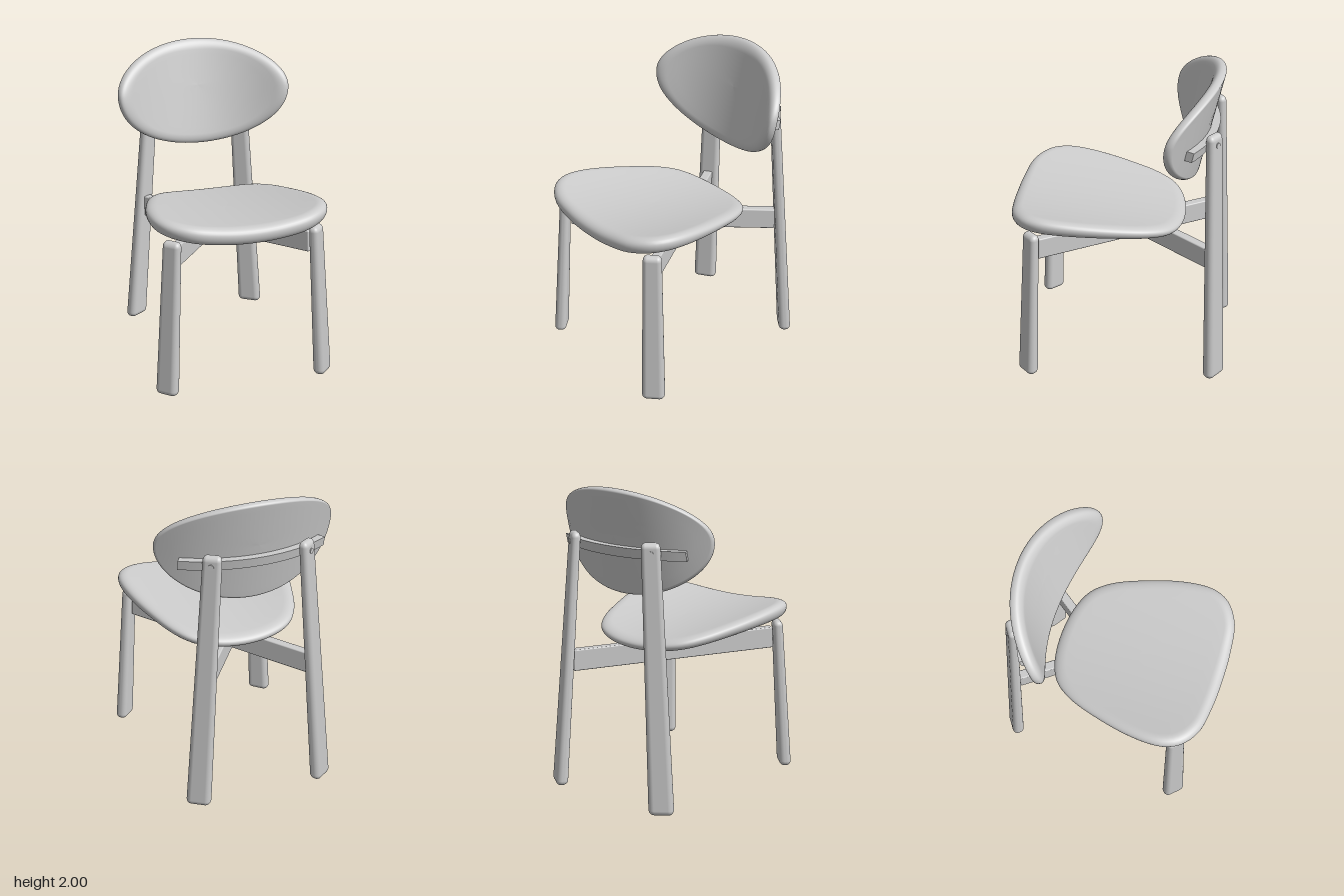
import * as THREE from 'three';
import { RoundedBoxGeometry } from 'three/addons/geometries/RoundedBoxGeometry.js';

const grey = new THREE.MeshStandardMaterial({ color: 0xcccccc });
grey.name = 'plain grey';

function part(name, geometry, parent) {
  const mesh = new THREE.Mesh(geometry, grey);
  mesh.name = name;
  parent.add(mesh);
  return mesh;
}

// Moves every vertex of a geometry by a rule
function deform(geometry, rule) {
  const pos = geometry.attributes.position;
  const v = new THREE.Vector3();
  for (let i = 0; i < pos.count; i++) {
    rule(v.fromBufferAttribute(pos, i));
    pos.setXYZ(i, v.x, v.y, v.z);
  }
  return geometry;
}

// Flat pad with a rounded rim: rings run from the upper centre, round the rim, to the lower centre.
// The outline is counter-clockwise around its own origin; t goes from 1 (upper) to -1 (lower).
function pad(outline, upperRim, lowerRim, rule) {
  const rings = [];
  for (let k = 0; k < 8; k++) rings.push([k / 8, upperRim, 1]);
  for (let k = 0; k <= 16; k++) {
    const a = Math.PI / 2 - (k / 16) * Math.PI;
    rings.push([1, (a > 0 ? upperRim : lowerRim) * (1 - Math.cos(a)), Math.sin(a)]);
  }
  for (let k = 7; k >= 0; k--) rings.push([k / 8, lowerRim, -1]);
  const n = outline.length, points = [], index = [];
  rings.forEach(([scale, inset, t], i) => {
    outline.forEach((p, j) => {
      const s = scale * (1 - inset / p.length());
      points.push(p.x * s, p.y * s, t);
      if (i === 0) return;
      const j2 = (j + 1) % n;
      const a = (i - 1) * n + j, b = i * n + j, c = i * n + j2, d = (i - 1) * n + j2;
      index.push(a, b, c, a, c, d);
    });
  });
  const g = new THREE.BufferGeometry();
  g.setAttribute('position', new THREE.Float32BufferAttribute(points, 3));
  g.setIndex(index);
  deform(g, rule);
  g.computeVertexNormals();
  return g;
}

// Tapered, splayed leg with rounded edges; foot and top are [x, z]
function leg(width, depth, yaw, height, foot, top, taper) {
  const g = new RoundedBoxGeometry(width, height, depth, 5, 0.036);
  g.translate(0, height / 2, 0);
  deform(g, (v) => {
    const s = THREE.MathUtils.lerp(1, taper, v.y / height);
    v.x *= s;
    v.z *= s;
  });
  g.rotateY(yaw);
  return deform(g, (v) => {
    const s = v.y / height;
    v.x += THREE.MathUtils.lerp(foot[0], top[0], s);
    v.z += THREE.MathUtils.lerp(foot[1], top[1], s);
  });
}

// Wraps a point (x, y, thickness offset) round the curve of the backrest
const R = 0.85;
function bendBack(v) {
  const sin = v.x / R, r = R - v.z;
  v.x = r * sin;
  v.z = -0.53 + R - r * Math.sqrt(1 - sin * sin) - 0.227 * (v.y - 1.66);
}

export function createModel() {
  const chair = new THREE.Group();
  chair.name = 'chair';

  // Seat: dished from side to side, thinner and lower towards the back
  const half = [[0, 0.705], [0.2, 0.697], [0.39, 0.665], [0.51, 0.585], [0.56, 0.49], [0.572, 0.39],
    [0.555, 0.22], [0.5, 0], [0.425, -0.2], [0.335, -0.32], [0.2, -0.385], [0, -0.41]];
  const mid = 0.14;
  const right = half.map(([x, z]) => new THREE.Vector3(x, mid - z, 0));
  const left = right.slice(1, -1).reverse().map((p) => new THREE.Vector3(-p.x, p.y, 0));
  const seatOutline = new THREE.CatmullRomCurve3([...right, ...left], true)
    .getSpacedPoints(96).slice(0, 96).map((p) => new THREE.Vector2(p.x, p.y));
  part('seat', pad(seatOutline, 0.075, 0.045, (v) => {
    const z = mid - v.y;
    v.set(v.x, 1.003 + 0.082 * z + 0.24 * v.x * v.x + v.z * (0.043 + 0.02 * z), z);
  }), chair);

  // Backrest: egg-shaped shell, curved round the sitter
  const midY = 1.705;
  const backOutline = Array.from({ length: 96 }, (_, i) => {
    const a = (i / 96) * Math.PI * 2, s = Math.sin(a);
    return new THREE.Vector2(0.577 * Math.cos(a), s * (s > 0 ? 0.295 : 0.39));
  });
  part('backrest', pad(backOutline, 0.065, 0.022, (v) => {
    v.y += midY;
    v.z *= 0.038;
    bendBack(v);
  }), chair);

  // Curved bar joining the backrest to the back legs
  const bar = new THREE.BoxGeometry(0.88, 0.062, 0.055, 28, 1, 1);
  bar.translate(0, 1.612, -0.062);
  deform(bar, bendBack).computeVertexNormals();
  part('backrestBar', bar, chair);

  for (const side of [1, -1]) {
    const name = side > 0 ? 'left' : 'right';
    part(name + 'FrontLeg', leg(0.15, 0.08, side * Math.PI / 4, 1.02,
      [side * 0.525, 0.577], [side * 0.47, 0.535], 0.78), chair);
    part(name + 'BackLeg', leg(0.16, 0.08, side * -0.61, 1.695,
      [side * 0.43, -0.645], [side * 0.306, -0.59], 0.73), chair);

    // Round plug on the outer face of the back leg
    const plug = part(name + 'LegPlug', new THREE.CylinderGeometry(0.018, 0.018, 0.07, 20), chair);
    plug.position.set(side * 0.311, 1.63, -0.592);
    plug.quaternion.setFromUnitVectors(new THREE.Vector3(0, 1, 0),
      new THREE.Vector3(side * 0.57, 0, -0.82).normalize());

    // Diagonal rail from a front leg to the opposite back leg
    const front = new THREE.Vector3(side * 0.45, 0.907, 0.505);
    const back = new THREE.Vector3(-side * 0.35, 0.848, -0.59);
    const rail = part(name + 'DiagonalRail',
      new RoundedBoxGeometry(0.06, 0.14, front.distanceTo(back), 3, 0.008), chair);
    rail.position.copy(front).add(back).multiplyScalar(0.5);
    rail.lookAt(front);
  }

  // Short bar between the rails, under the seat
  const brace = part('seatBrace', new RoundedBoxGeometry(0.48, 0.105, 0.04, 2, 0.006), chair);
  brace.position.set(0, 0.925, 0.24);

  return chair;
}
